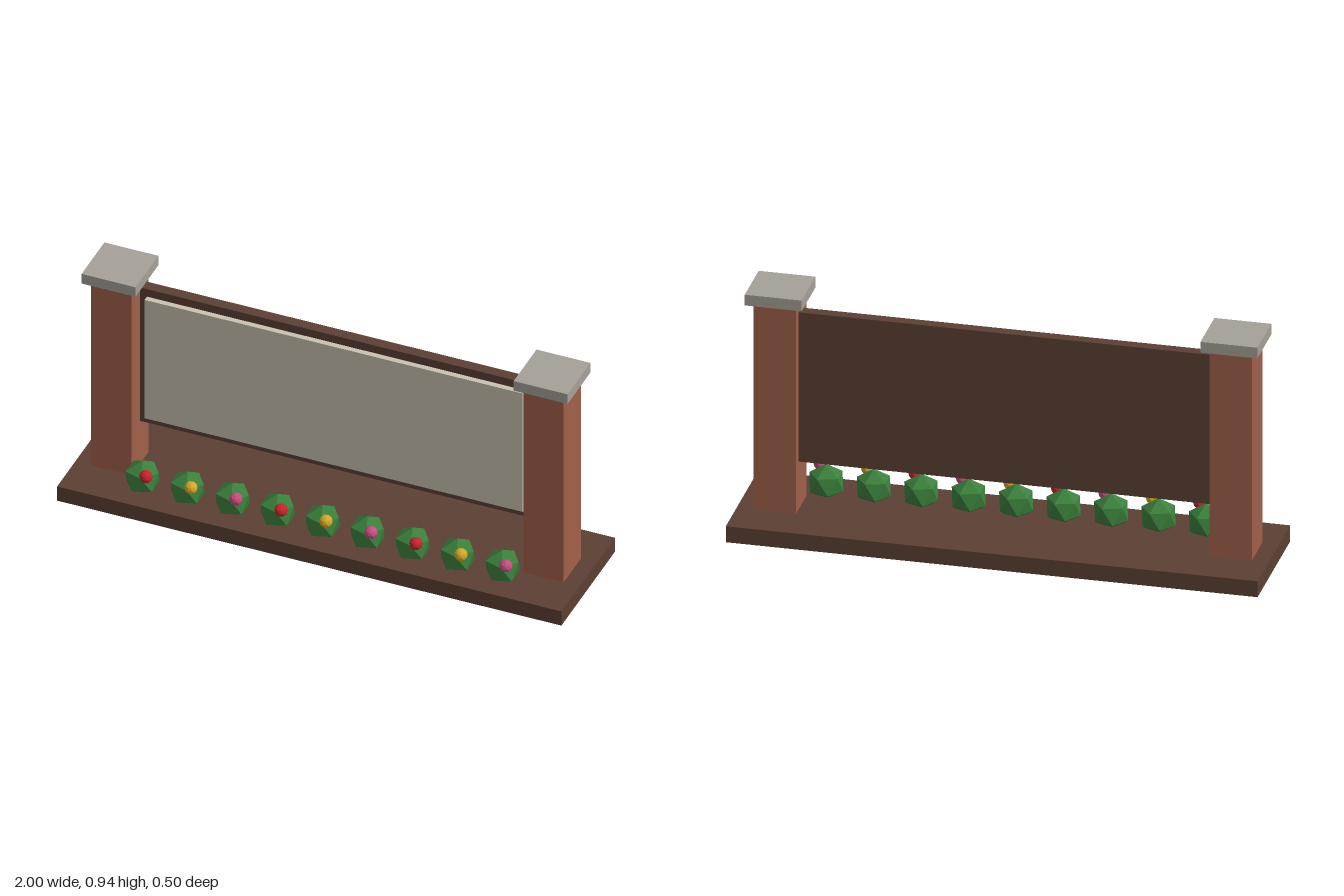
import * as THREE from 'three';

export function createModel() {
  const root = new THREE.Group();
  root.name = 'gardenSign';

  const paint = (name, color, flatShading = false) => {
    const m = new THREE.MeshStandardMaterial({ color, flatShading });
    m.name = name;
    return m;
  };
  const wood = paint('dark brown', 0x5c4033);
  const brick = paint('brick red', 0xa0604a);
  const stone = paint('grey stone', 0xa5a198);
  const cream = paint('cream', 0xc9c2b2);
  const leaf = paint('leaf green', 0x3a803c, true);
  const petals = [
    paint('red petal', 0xc8242c, true),
    paint('yellow petal', 0xd4a826, true),
    paint('pink petal', 0xc84c80, true),
  ];

  const add = (name, geometry, material, x, y, z) => {
    const mesh = new THREE.Mesh(geometry, material);
    mesh.name = name;
    mesh.position.set(x, y, z);
    root.add(mesh);
  };
  // Box given by its centre x and z and its bottom and top heights
  const box = (name, mat, w, d, y0, y1, x = 0, z = 0) =>
    add(name, new THREE.BoxGeometry(w, y1 - y0, d), mat, x, (y0 + y1) / 2, z);

  // Planting bed
  box('base', wood, 2, 0.5, 0, 0.064);

  // Brick posts with stone caps
  for (const [side, s] of [['left', 1], ['right', -1]]) {
    box(side + 'Pillar', brick, 0.16, 0.16, 0.03, 0.893, s * 0.857);
    box(side + 'Cap', stone, 0.214, 0.214, 0.893, 0.936, s * 0.857);
  }

  // Backing board and raised face panel
  box('signBoard', wood, 1.56, 0.043, 0.256, 0.857, 0, -0.0215);
  box('signPanel', cream, 1.5, 0.032, 0.29, 0.823, 0, 0.006);

  // Round facets with one corner pointing straight up
  const tilt = -Math.atan(2 / (1 + Math.sqrt(5)));
  const bushShape = new THREE.IcosahedronGeometry(0.0715, 0).rotateZ(tilt);
  const flowerShape = new THREE.IcosahedronGeometry(0.025, 1).rotateZ(tilt);

  // Row of bushes, each with one flower
  for (let i = 0; i < 9; i++) {
    const x = (i - 4) * 0.1785;
    add('bush' + (i + 1), bushShape, leaf, x, 0.107, 0.125);
    add('flower' + (i + 1), flowerShape, petals[i % 3], x + 0.036, 0.152, 0.179);
  }
  return root;
}
